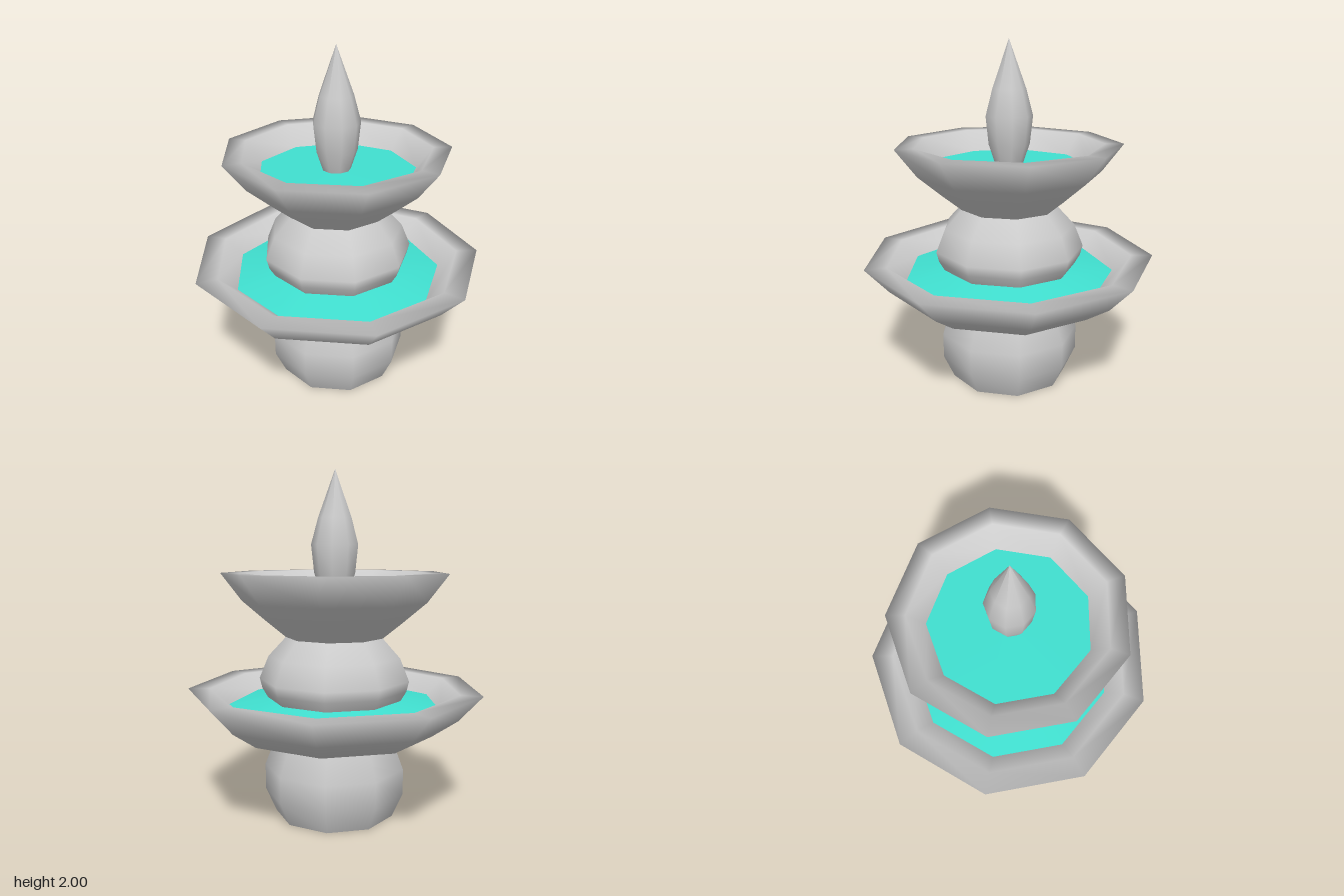
import * as THREE from 'three';

const SIDES = 9;
const grey = new THREE.MeshStandardMaterial({ color: 0xcccccc });
const waterBlue = new THREE.MeshStandardMaterial({ color: 0x40e0d0 });

// Nine-sided turned part from [radius, height] pairs, with one corner towards +x
function turned(name, profile, material = grey) {
  const points = profile.map(([r, y]) => new THREE.Vector2(r, y));
  const mesh = new THREE.Mesh(new THREE.LatheGeometry(points, SIDES, Math.PI / 2), material);
  mesh.name = name;
  return mesh;
}

export function createModel() {
  const fountain = new THREE.Group();
  fountain.name = 'fountain';

  fountain.add(
    // Rounded foot with a flat underside
    turned('footUnderside', [[0, 0], [0.35, 0]]),
    turned('foot', [[0.35, 0], [0.413, 0.14], [0.413, 0.29], [0.355, 0.44]]),

    // Lower bowl: outside, flat rim, then inner wall down to the water
    turned('lowerBowl', [[0.355, 0.44], [0.575, 0.5], [0.72, 0.6], [0.856, 0.75], [0.73, 0.75], [0.62, 0.655]]),
    turned('lowerWater', [[0.62, 0.655], [0.39, 0.695]], waterBlue),

    // Rounded middle section
    turned('middle', [[0.39, 0.69], [0.425, 0.75], [0.44, 0.81], [0.387, 0.94], [0.285, 1.05]]),

    // Upper bowl
    turned('upperBowl', [[0.285, 1.05], [0.395, 1.14], [0.535, 1.26], [0.656, 1.42], [0.55, 1.42], [0.456, 1.3]]),
    turned('upperWater', [[0.456, 1.3], [0.08, 1.305], [0, 1.305]], waterBlue),

    // Pointed spout
    turned('spout', [[0.08, 1.3], [0.12, 1.42], [0.137, 1.58], [0.097, 1.73], [0, 2]]),
  );

  // An odd-sided ring is wider on its corner side, so shift it to the middle
  fountain.position.x = -0.026;
  const model = new THREE.Group();
  model.add(fountain);
  return model;
}
